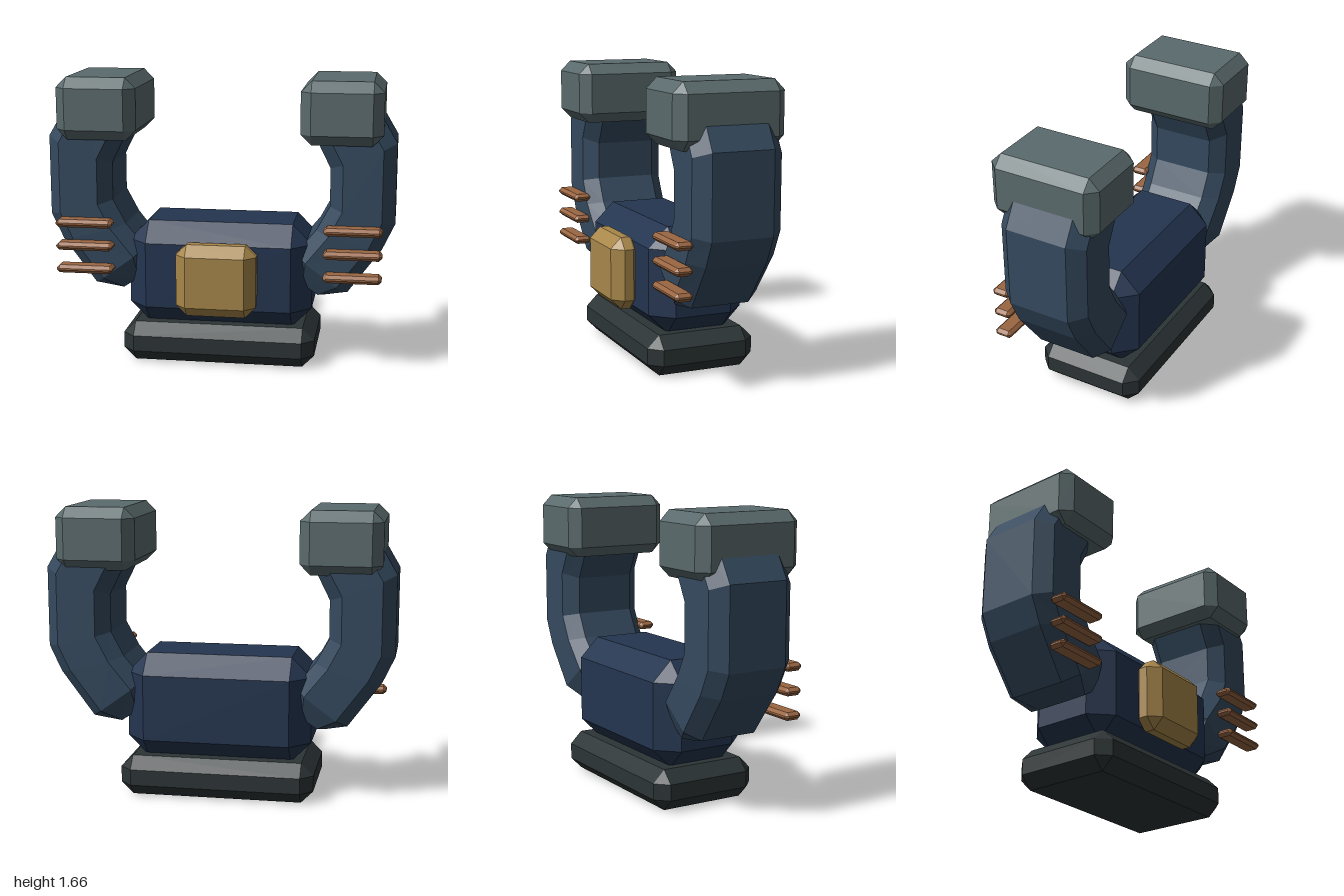
import * as THREE from 'three';
import { ConvexGeometry } from 'three/addons/geometries/ConvexGeometry.js';

const mat = (color) => new THREE.MeshStandardMaterial({ color, flatShading: true });
const MID_Z = -0.043;

// Box with every edge cut by c, given by its min and max corners
function chamferBox(min, max, c) {
  const points = [];
  const mid = min.map((v, i) => (v + max[i]) / 2);
  const half = min.map((v, i) => (max[i] - v) / 2);
  for (const sx of [-1, 1]) for (const sy of [-1, 1]) for (const sz of [-1, 1]) {
    const s = [sx, sy, sz];
    for (let face = 0; face < 3; face++) {
      const p = s.map((sign, i) => mid[i] + sign * (half[i] - (i === face ? 0 : c)));
      points.push(new THREE.Vector3(...p));
    }
  }
  return new ConvexGeometry(points);
}

// Curved arm: eight-sided rings, each [outerX, outerY, innerX, innerY, halfDepth]
function armGeometry(side) {
  const rings = [
    [0.84, 1.58, 0.52, 1.38, 0.258],
    [1.0, 1.31, 0.63, 1.16, 0.258],
    [1.0, 0.85, 0.63, 0.94, 0.258],
    [0.93, 0.7, 0.555, 0.8, 0.258],
    [0.74, 0.44, 0.44, 0.66, 0.25],
    [0.6, 0.4, 0.45, 0.5, 0.19],
  ];
  const section = [[1, -1, 0], [1, 1, 0], [0.6, 1, 1], [-0.6, 1, 1], [-1, 1, 0], [-1, -1, 0], [-0.6, -1, 1], [0.6, -1, 1]];
  const positions = [];
  const index = [];
  for (const [ox, oy, ix, iy, depth] of rings) {
    for (const [t, sz, full] of section) {
      const k = (t + 1) / 2;
      const z = MID_Z + sz * (full ? depth : depth - 0.08);
      positions.push(side * (ix + (ox - ix) * k), iy + (oy - iy) * k, z);
    }
  }
  const tri = (a, b, c) => (side > 0 ? index.push(a, b, c) : index.push(a, c, b));
  const n = section.length;
  const last = (rings.length - 1) * n;
  for (let r = 0; r < last; r += n) {
    for (let i = 0; i < n; i++) {
      const j = (i + 1) % n;
      tri(r + i, r + j, r + n + j);
      tri(r + i, r + n + j, r + n + i);
    }
  }
  // End caps
  for (let i = 1; i < n - 1; i++) {
    tri(0, i + 1, i);
    tri(last, last + i, last + i + 1);
  }
  const geometry = new THREE.BufferGeometry();
  geometry.setAttribute('position', new THREE.Float32BufferAttribute(positions, 3));
  geometry.setIndex(index);
  geometry.computeVertexNormals();
  return geometry;
}

export function createModel() {
  const model = new THREE.Group();
  const baseMat = mat(0x2c3436);
  const bodyMat = mat(0x243550);
  const armMat = mat(0x34495e);
  const headMat = mat(0x5a6a6c);
  const panelMat = mat(0xa8874a);
  const barMat = mat(0x9a6642);

  const add = (name, geometry, material) => {
    const mesh = new THREE.Mesh(geometry, material);
    mesh.name = name;
    model.add(mesh);
  };

  // Foot, body and front plate
  add('base', chamferBox([-0.56, 0, -0.365], [0.56, 0.232, 0.277], 0.07), baseMat);
  add('body', chamferBox([-0.535, 0.215, -0.325], [0.535, 0.825, 0.24], 0.115), bodyMat);
  add('frontPanel', chamferBox([-0.23, 0.31, 0.19], [0.23, 0.73, 0.367], 0.062), panelMat);

  // Arms with end blocks and three front bars on each side
  for (const side of [1, -1]) {
    const label = side > 0 ? 'left' : 'right';
    const span = (a, b) => (side > 0 ? [a, b] : [-b, -a]);
    add(label + 'Arm', armGeometry(side), armMat);

    const [h0, h1] = span(0.465, 0.925);
    add(label + 'EndBlock', chamferBox([h0, 1.305, -0.345], [h1, 1.662, 0.297], 0.06), headMat);

    const [b0, b1] = span(0.605, 0.935);
    [0.825, 0.69, 0.555].forEach((y, i) => {
      add(label + 'Bar' + (i + 1), chamferBox([b0, y - 0.023, 0.2], [b1, y + 0.023, 0.304], 0.018), barMat);
    });
  }
  return model;
}
